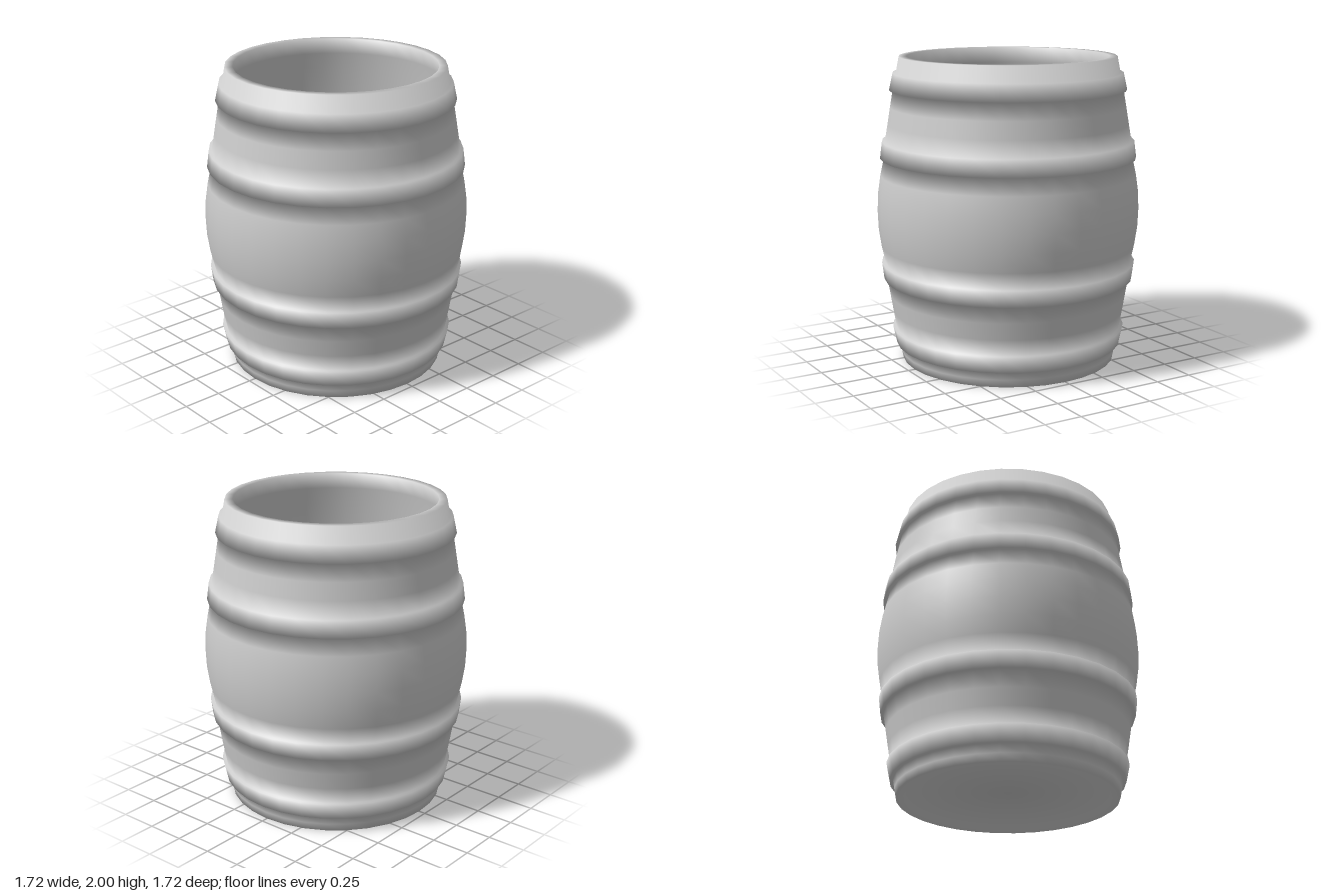
import * as THREE from 'three';

const SIDES = 32;

// Lower half of the outer wall as [radius, height], including the two raised hoops
const lowerWall = [
  [0.725, 0.105], [0.746, 0.105], [0.77, 0.215], [0.747, 0.215],  // end hoop
  [0.766, 0.325], [0.784, 0.435],
  [0.803, 0.545], [0.822, 0.545], [0.836, 0.655], [0.812, 0.655], // belly hoop
  [0.836, 0.765], [0.853, 0.88],
];

// Lower half of the hollow inside, starting at the floor's edge
const lowerHollow = [[0.675, 0.105], [0.697, 0.215], [0.753, 0.545], [0.765, 0.655], [0.795, 0.84]];

const mirrored = (half) => half.map(([r, y]) => [r, 2 - y]).reverse();

// Lathe whose corners are rounded evenly: each normal is the mean of its two neighbouring slopes
function softLathe(profile) {
  const points = profile.map(([r, y]) => new THREE.Vector2(r, y));
  const slopes = points.slice(1).map((p, i) =>
    new THREE.Vector2(p.y - points[i].y, points[i].x - p.x).normalize());
  const normals = points.map((p, i) =>
    (slopes[i - 1] ?? slopes[i]).clone().add(slopes[i] ?? slopes[i - 1]).normalize());

  const geometry = new THREE.LatheGeometry(points, SIDES);
  for (let s = 0; s <= SIDES; s++) {
    const angle = (s / SIDES) * Math.PI * 2;
    normals.forEach((n, j) => geometry.attributes.normal.setXYZ(
      s * points.length + j, n.x * Math.sin(angle), n.y, n.x * Math.cos(angle)));
  }
  return geometry;
}

export function createModel() {
  const group = new THREE.Group();
  group.name = 'barrel';

  // One closed skin: recessed base, foot, hooped wall, rim, hollow and floor
  const base = [[0, 0.045], [0.655, 0.045], [0.653, 0], [0.705, 0], [0.715, 0.05]];
  const wall = [...lowerWall, [0.858, 1], ...mirrored(lowerWall)];
  const rim = [[0.705, 2], [0.653, 2]];
  const hollow = [...lowerHollow, [0.807, 1], ...mirrored(lowerHollow)].reverse();
  const floor = [[0, 0.105]];

  const shell = new THREE.Mesh(
    softLathe([...base, ...wall, ...rim, ...hollow, ...floor]),
    new THREE.MeshStandardMaterial({ color: 0xcccccc })
  );
  shell.name = 'hoopedShell';
  group.add(shell);

  return group;
}
